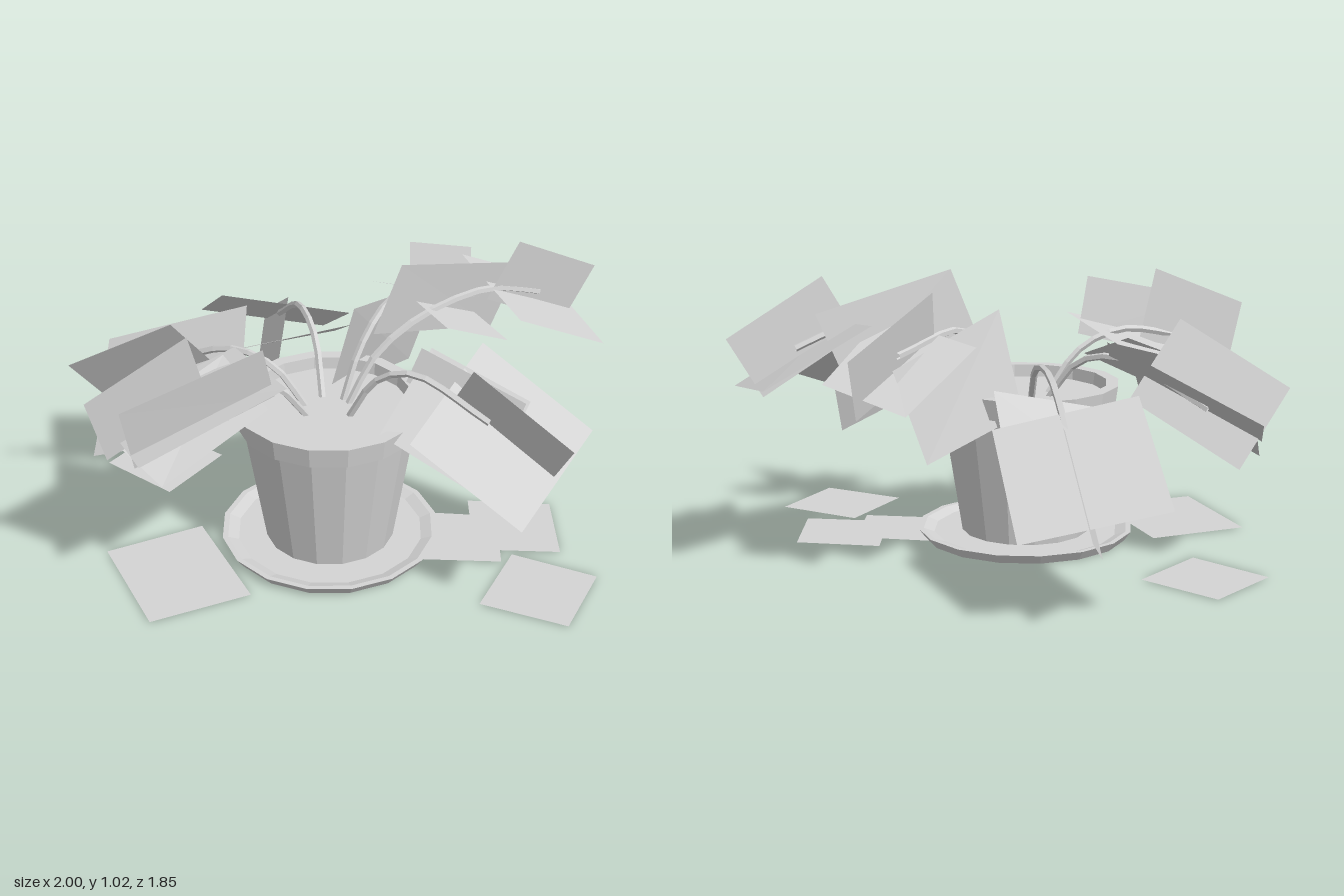
import * as THREE from 'three';

const stone = new THREE.MeshStandardMaterial({ color: 0xd4d4d4, flatShading: true, side: THREE.DoubleSide });
stone.name = 'plain grey';

const v = (p) => new THREE.Vector3(...p);

// A flat four-cornered leaf card
function card(name, corners) {
  const geo = new THREE.BufferGeometry();
  geo.setAttribute('position', new THREE.Float32BufferAttribute(corners.flat(), 3));
  geo.setIndex([0, 1, 2, 0, 2, 3]);
  geo.computeVertexNormals();
  const mesh = new THREE.Mesh(geo, stone);
  mesh.name = name;
  return mesh;
}

// A faceted turned shape
function turned(name, profile) {
  const geo = new THREE.LatheGeometry(profile.map(([r, y]) => new THREE.Vector2(r, y)), 16);
  const mesh = new THREE.Mesh(geo, stone);
  mesh.name = name;
  mesh.position.z = 0.13;
  return mesh;
}

// Each branch: stem path and its leaf cards
const branches = {
  right: {
    stem: [[0.08, 0.53, 0.12], [0.18, 0.7, 0.1], [0.32, 0.76, 0.08], [0.6, 0.64, 0.04]],
    leaves: [
      [[0.44, 0.8, -0.18], [0.865, 0.565, -0.22], [0.845, 0.39, 0.23], [0.43, 0.62, 0.28]],
      [[0.565, 0.86, 0.1], [0.94, 0.655, 0.07], [0.74, 0.32, -0.06], [0.36, 0.53, -0.03]],
      [[0.31, 0.8, -0.05], [0.68, 0.68, -0.1], [0.66, 0.42, 0.17], [0.27, 0.57, 0.22]],
      [[0.3, 0.82, 0], [0.69, 0.7, -0.05], [0.66, 0.58, 0], [0.27, 0.7, 0.05]],
    ],
  },
  backRight: {
    stem: [[0.03, 0.53, 0.05], [0.08, 0.7, -0.05], [0.17, 0.81, -0.22], [0.3, 0.85, -0.46], [0.4, 0.78, -0.66]],
    leaves: [
      [[0.29, 0.69, -0.93], [0.66, 0.62, -0.7], [0.49, 0.82, -0.36], [0.11, 0.88, -0.59]],
      [[0.37, 1.02, -0.55], [0.52, 0.83, -0.87], [0.45, 0.62, -0.77], [0.3, 0.81, -0.45]],
      [[0.115, 1.02, -0.16], [0.34, 0.9, -0.62], [0.27, 0.65, -0.54], [0.05, 0.76, -0.08]],
      [[0.2, 0.74, -0.48], [0.42, 0.7, -0.4], [0.3, 0.82, -0.17], [0.08, 0.86, -0.25]],
    ],
  },
  back: {
    stem: [[0, 0.53, 0.04], [0.01, 0.7, -0.05], [0.02, 0.82, -0.22], [0.03, 0.78, -0.55]],
    leaves: [
      [[-0.13, 0.62, -0.7], [0.24, 0.68, -0.7], [0.27, 0.86, -0.35], [-0.15, 0.8, -0.35]],
      [[0, 0.98, -0.4], [0.03, 0.8, -0.8], [0.07, 0.58, -0.72], [0.04, 0.75, -0.34]],
      [[0, 0.87, -0.03], [0.01, 0.74, -0.6], [-0.07, 0.41, -0.52], [-0.1, 0.5, -0.02]],
    ],
  },
  backLeft: {
    stem: [[-0.07, 0.53, 0.07], [-0.18, 0.68, -0.05], [-0.35, 0.7, -0.2], [-0.6, 0.5, -0.41]],
    leaves: [
      [[-1, 0.39, -0.42], [-0.62, 0.285, -0.74], [-0.31, 0.56, -0.47], [-0.68, 0.67, -0.15]],
      [[-0.86, 0.32, -0.67], [-0.735, 0.18, -0.43], [-0.43, 0.45, -0.16], [-0.55, 0.59, -0.4]],
      [[-0.7, 0.38, -0.25], [-0.4, 0.44, -0.5], [-0.17, 0.64, -0.28], [-0.47, 0.57, -0.02]],
    ],
  },
  left: {
    stem: [[-0.09, 0.53, 0.15], [-0.2, 0.67, 0.18], [-0.38, 0.7, 0.2], [-0.7, 0.55, 0.26]],
    leaves: [
      [[-0.97, 0.545, 0.18], [-0.42, 0.79, 0.04], [-0.29, 0.67, 0.25], [-0.845, 0.43, 0.39]],
      [[-0.89, 0.61, 0.5], [-0.51, 0.835, 0.37], [-0.43, 0.565, 0.17], [-0.81, 0.34, 0.3]],
      [[-0.82, 0.44, 0.4], [-0.34, 0.64, 0.33], [-0.25, 0.53, 0.5], [-0.73, 0.32, 0.58]],
    ],
  },
  frontLeft: {
    stem: [[-0.05, 0.53, 0.2], [-0.11, 0.68, 0.3], [-0.2, 0.75, 0.44], [-0.32, 0.7, 0.7]],
    leaves: [
      [[-0.44, 0.81, 0.92], [-0.26, 0.965, 0.59], [-0.24, 0.715, 0.52], [-0.42, 0.56, 0.85]],
      [[-0.3, 0.815, 0.91], [-0.035, 0.93, 0.47], [-0.035, 0.72, 0.41], [-0.3, 0.57, 0.85]],
      [[-0.59, 0.59, 0.68], [-0.22, 0.64, 0.92], [0.04, 0.79, 0.44], [-0.33, 0.74, 0.24]],
      [[-0.32, 0.75, 0.32], [-0.07, 0.65, 0.4], [-0.27, 0.45, 0.75], [-0.52, 0.56, 0.73]],
    ],
  },
};

// Leaves lying on the ground, as x and z corners
const fallen = [
  [[-0.97, -0.09], [-0.65, -0.07], [-0.66, 0.25], [-0.985, 0.22]],
  [[-0.61, 0.68], [-0.42, 0.36], [-0.02, 0.6], [-0.22, 0.92]],
  [[0.95, -0.17], [1, 0.14], [0.68, 0.2], [0.63, -0.12]],
  [[0.32, -0.33], [0.59, -0.48], [0.77, -0.23], [0.5, -0.07]],
  [[0.2, -0.16], [0.46, -0.3], [0.62, -0.06], [0.35, 0.1]],
];

export function createModel() {
  const model = new THREE.Group();
  model.name = 'pottedPlant';

  // Saucer, pot with rim, and soil
  model.add(turned('saucer', [[0, 0.012], [0.225, 0.012], [0.235, 0], [0.375, 0], [0.4, 0.035], [0.38, 0.035], [0.34, 0.02], [0, 0.02]]));
  model.add(turned('pot', [[0, 0.025], [0.235, 0.025], [0.31, 0.5], [0.335, 0.505], [0.345, 0.58], [0.3, 0.58], [0.29, 0.5]]));
  model.add(turned('soil', [[0.295, 0.535], [0, 0.535]]));

  // Arching stems with crossed leaf cards
  for (const [side, { stem, leaves }] of Object.entries(branches)) {
    const branch = new THREE.Group();
    branch.name = side + 'Branch';
    const curve = new THREE.CatmullRomCurve3(stem.map(v));
    const tube = new THREE.Mesh(new THREE.TubeGeometry(curve, 10, 0.013, 5), stone);
    tube.name = 'stem';
    branch.add(tube);
    leaves.forEach((corners) => branch.add(card('leaf', corners)));
    model.add(branch);
  }

  // Fallen leaves
  fallen.forEach((f) => model.add(card('fallenLeaf', f.map(([x, z]) => [x, 0.002, z]).reverse())));
  return model;
}
